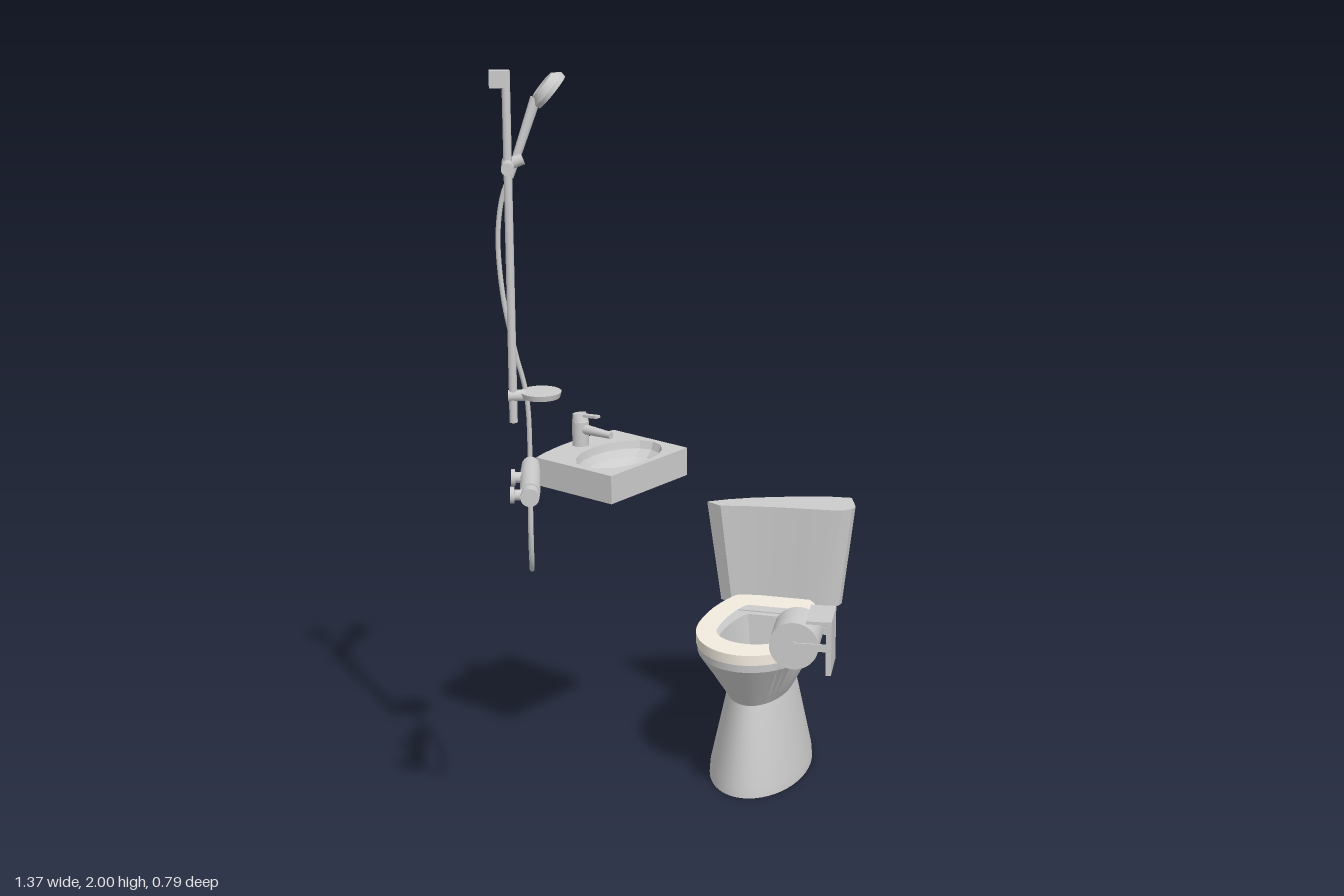
import * as THREE from 'three';
import { toCreasedNormals } from 'three/addons/utils/BufferGeometryUtils.js';

const grey = new THREE.MeshStandardMaterial({ color: 0xcccccc });
const greyOpen = new THREE.MeshStandardMaterial({ color: 0xcccccc, side: THREE.DoubleSide });
const cream = new THREE.MeshStandardMaterial({ color: 0xf2ebdf });
const V = (x, y, z) => new THREE.Vector3(x, y, z);

function add(parent, name, geo, mat = grey) {
  const mesh = new THREE.Mesh(geo, mat);
  mesh.name = name;
  parent.add(mesh);
  return mesh;
}

function group(parent, name, x, z, turn) {
  const g = new THREE.Group();
  g.name = name;
  g.position.set(x, 0, z);
  g.rotation.y = turn;
  parent.add(g);
  return g;
}

// Round bar between two points
function rod(parent, name, a, b, ra, rb = ra, sides = 20) {
  const dir = b.clone().sub(a);
  const m = add(parent, name, new THREE.CylinderGeometry(rb, ra, dir.length(), sides));
  m.position.copy(a).add(b).multiplyScalar(0.5);
  m.quaternion.setFromUnitVectors(V(0, 1, 0), dir.normalize());
  return m;
}

function box(parent, name, w, h, d, x, y, z) {
  const m = add(parent, name, new THREE.BoxGeometry(w, h, d));
  m.position.set(x, y, z);
  return m;
}

// Egg outline in x/z: two half ellipses, the rear one cut off straight
function egg(w, zc, front, rear, cut = -9, n = 48) {
  return Array.from({ length: n }, (_, i) => {
    const t = (i / n) * Math.PI * 2, c = Math.cos(t);
    return [w * Math.sin(t), Math.max(cut, zc + (c > 0 ? front : rear) * c)];
  });
}

// Horizontal slab with optional hole, hanging down from yTop
function slab(points, yTop, depth, hole) {
  const vec = (p) => p.map(([x, z]) => new THREE.Vector2(x, z));
  const shape = new THREE.Shape(vec(points));
  if (hole) shape.holes.push(new THREE.Path(vec(hole)));
  const geo = new THREE.ExtrudeGeometry(shape, { depth, bevelEnabled: false });
  geo.rotateX(Math.PI / 2).translate(0, yTop, 0);
  return toCreasedNormals(geo, 0.5);
}

// Skin over stacked rings [y, outline], closed at both ends
function loft(rings) {
  const n = rings[0][1].length, pos = [], idx = [], last = (rings.length - 1) * n;
  for (const [y, pts] of rings) for (const [x, z] of pts) pos.push(x, y, z);
  for (const [y, pts] of [rings[0], rings[rings.length - 1]]) {
    pos.push(pts.reduce((s, p) => s + p[0], 0) / n, y, pts.reduce((s, p) => s + p[1], 0) / n);
  }
  for (let j = 0; j < n; j++) {
    const k = (j + 1) % n;
    for (let r = 0; r < last; r += n) idx.push(r + j, r + k, r + n + k, r + j, r + n + k, r + n + j);
    idx.push(last + n, k, j, last + n + 1, last + j, last + k);
  }
  const geo = new THREE.BufferGeometry();
  geo.setAttribute('position', new THREE.Float32BufferAttribute(pos, 3));
  geo.setIndex(idx);
  return toCreasedNormals(geo, 0.5);
}

function buildToilet(root) {
  const g = group(root, 'toilet', 0.29, 0, -1.19);
  const opening = egg(0.1, 0.05, 0.09, 0.244, -0.14);
  // Pedestal, bowl and hollow in one skin
  add(g, 'bowl', loft([
    [0, egg(0.135, -0.056, 0.236, 0.236)],
    [0.03, egg(0.133, -0.056, 0.233, 0.233)],
    [0.245, egg(0.087, -0.056, 0.179, 0.179)],
    [0.38, egg(0.155, 0.02, 0.198, 0.36, -0.25)],
    [0.403, egg(0.157, 0.02, 0.2, 0.36, -0.25)],
    [0.403, opening],
    [0.3, egg(0.085, 0.04, 0.075, 0.22, -0.13)],
  ]));
  add(g, 'tankShelf', slab(
    [[-0.15, -0.02], [-0.145, -0.23], [0.0, -0.325], [0.13, -0.34], [0.163, -0.215], [0.157, -0.02],
      [0.11, -0.16], [-0.11, -0.16]], 0.406, 0.026));
  add(g, 'seat', slab(egg(0.159, 0.02, 0.203, 0.311, -0.22), 0.43, 0.028, opening), cream);
  // Waste outlet at the back
  rod(g, 'outletNeck', V(0, 0.21, -0.14), V(0, 0.21, -0.26), 0.035, 0.052, 24);
  rod(g, 'outlet', V(0, 0.21, -0.26), V(0, 0.21, -0.32), 0.052, 0.052, 24);

  // Corner cistern, tapering downwards
  const outline = [[0.42, -0.265], [0.413, -0.215], [0.44, -0.175], [0.47, -0.125], [0.5, -0.07],
    [0.53, -0.01], [0.56, 0.05], [0.58, 0.08], [0.605, 0.093], [0.63, 0.088], [0.685, 0.04],
    [0.655, -0.02], [0.61, -0.08], [0.57, -0.13], [0.52, -0.185], [0.47, -0.23]];
  const small = outline.map(([x, z]) => [0.549 + (x - 0.549) * 0.83, -0.08 + (z + 0.08) * 0.82]);
  add(root, 'tank', loft([[0.405, small], [0.693, outline]]));
}

function buildSink(root) {
  const g = group(root, 'sink', -0.017, -0.255, -0.036);
  const outline = [[-0.153, 0.13], [0.153, 0.13], [0.155, -0.122]];
  for (let i = 1; i <= 8; i++) {
    const x = 0.155 - (0.31 * i) / 8;
    outline.push([x, -0.122 - 0.02 * (1 - (x / 0.155) ** 2)]);
  }
  const hole = egg(0.138, 0.027, 0.09, 0.09, -9, 16);
  add(g, 'sinkBody', slab(outline, 0.95, 0.068, hole));
  add(g, 'sinkBottom', slab(outline, 0.882, 0.007));
  const basin = new THREE.SphereGeometry(1, 16, 5, 0, Math.PI * 2, Math.PI / 2, Math.PI / 2);
  basin.scale(0.138, 0.066, 0.09).translate(0, 0.95, 0.027);
  add(g, 'basin', toCreasedNormals(basin, 0.3), greyOpen);
  // Mixer tap
  rod(g, 'tapBody', V(0, 0.948, -0.105), V(0, 1.015, -0.105), 0.022);
  rod(g, 'tapCap', V(0, 1.015, -0.105), V(0, 1.036, -0.108), 0.022, 0.018);
  rod(g, 'spout', V(0, 0.995, -0.1), V(0, 0.995, 0), 0.014, 0.009);
  box(g, 'tapLever', 0.016, 0.007, 0.08, 0, 1.033, -0.083).rotation.x = -0.1;
}

function buildPaperHolder(root) {
  const g = group(root, 'paperHolder', 0.103, 0.365, -2.658);
  box(g, 'wallPlate', 0.118, 0.145, 0.014, 0, 0.533, 0.007);
  box(g, 'topCover', 0.118, 0.008, 0.06, 0, 0.601, 0.035);
  rod(g, 'paperRoll', V(-0.057, 0.535, 0.096), V(0.057, 0.535, 0.096), 0.063, 0.063, 32);
  rod(g, 'rollSpindle', V(-0.06, 0.535, 0.096), V(0.06, 0.535, 0.096), 0.014);
  for (const s of [-1, 1]) box(g, 'arm', 0.004, 0.02, 0.09, s * 0.059, 0.535, 0.05);
}

function buildShower(root) {
  const g = group(root, 'shower', 0, 0, 0);
  // Directions along the wall and out of it
  const along = V(0.77, 0, -0.64), out = V(0.64, 0, 0.77);
  const at = (base, a, o, y = 0) => base.clone().addScaledVector(along, a).addScaledVector(out, o).add(V(0, y, 0));

  // Thermostatic valve with wall connectors
  const valve = V(-0.66, 1.053, 0.015);
  rod(g, 'valveBody', at(valve, 0.035, 0), at(valve, 0.205, 0), 0.024);
  rod(g, 'valveKnob', at(valve, 0, 0), at(valve, 0.033, 0), 0.022);
  rod(g, 'valveKnob', at(valve, 0.207, 0), at(valve, 0.248, 0), 0.022);
  for (const a of [0.025, 0.156]) {
    rod(g, 'wallConnector', at(valve, a, 0), at(valve, a, -0.042), 0.013);
    rod(g, 'wallRosette', at(valve, a, -0.036), at(valve, a, -0.046), 0.02);
  }

  // Riser rail
  const rail = V(-0.463, 0, -0.2);
  rod(g, 'rail', at(rail, 0, 0, 1.15), at(rail, 0, 0, 2), 0.01, 0.01, 16);
  const bracket = box(g, 'railBracket', 0.022, 0.04, 0.042, 0, 0, 0);
  bracket.position.copy(at(rail, 0, -0.018, 1.98));
  bracket.rotation.y = Math.atan2(0.64, 0.77);
  rod(g, 'sliderKnob', at(rail, -0.052, 0, 1.777), at(rail, 0.052, 0, 1.777), 0.015);
  rod(g, 'handsetClip', at(rail, 0.015, 0, 1.777), at(rail, 0.015, 0.035, 1.79), 0.014);

  // Soap dish
  rod(g, 'soapDish', V(-0.418, 1.212, -0.15), V(-0.418, 1.226, -0.15), 0.046, 0.05, 28);
  rod(g, 'soapDishArm', at(rail, 0, -0.012, 1.217), at(rail, 0, 0.03, 1.217), 0.014);

  // Hand shower
  const head = V(-0.374, 1.95, -0.147), face = V(0.49, -0.64, 0.59).normalize();
  rod(g, 'handle', V(-0.445, 1.745, -0.21), V(-0.395, 1.93, -0.168), 0.009, 0.013, 16);
  rod(g, 'showerHeadBack', head.clone().addScaledVector(face, -0.018), head, 0.035, 0.05, 28);
  rod(g, 'showerHead', head, head.clone().addScaledVector(face, 0.012), 0.05, 0.048, 28);

  // Hose: down from the valve, round the loop and up to the handle
  const hose = new THREE.CatmullRomCurve3([
    V(-0.595, 1.04, -0.039), V(-0.595, 0.92, -0.039), V(-0.572, 0.845, -0.058), V(-0.508, 0.811, -0.113),
    V(-0.444, 0.845, -0.17), V(-0.421, 0.92, -0.189), V(-0.42, 1.2, -0.193), V(-0.44, 1.32, -0.21),
    V(-0.455, 1.45, -0.23), V(-0.458, 1.6, -0.24), V(-0.452, 1.7, -0.228), V(-0.444, 1.75, -0.21)]);
  add(g, 'hose', new THREE.TubeGeometry(hose, 90, 0.006, 8));
}

export function createModel() {
  const root = new THREE.Group();
  root.name = 'bathroomSet';
  buildToilet(root);
  buildSink(root);
  buildPaperHolder(root);
  buildShower(root);
  return root;
}
